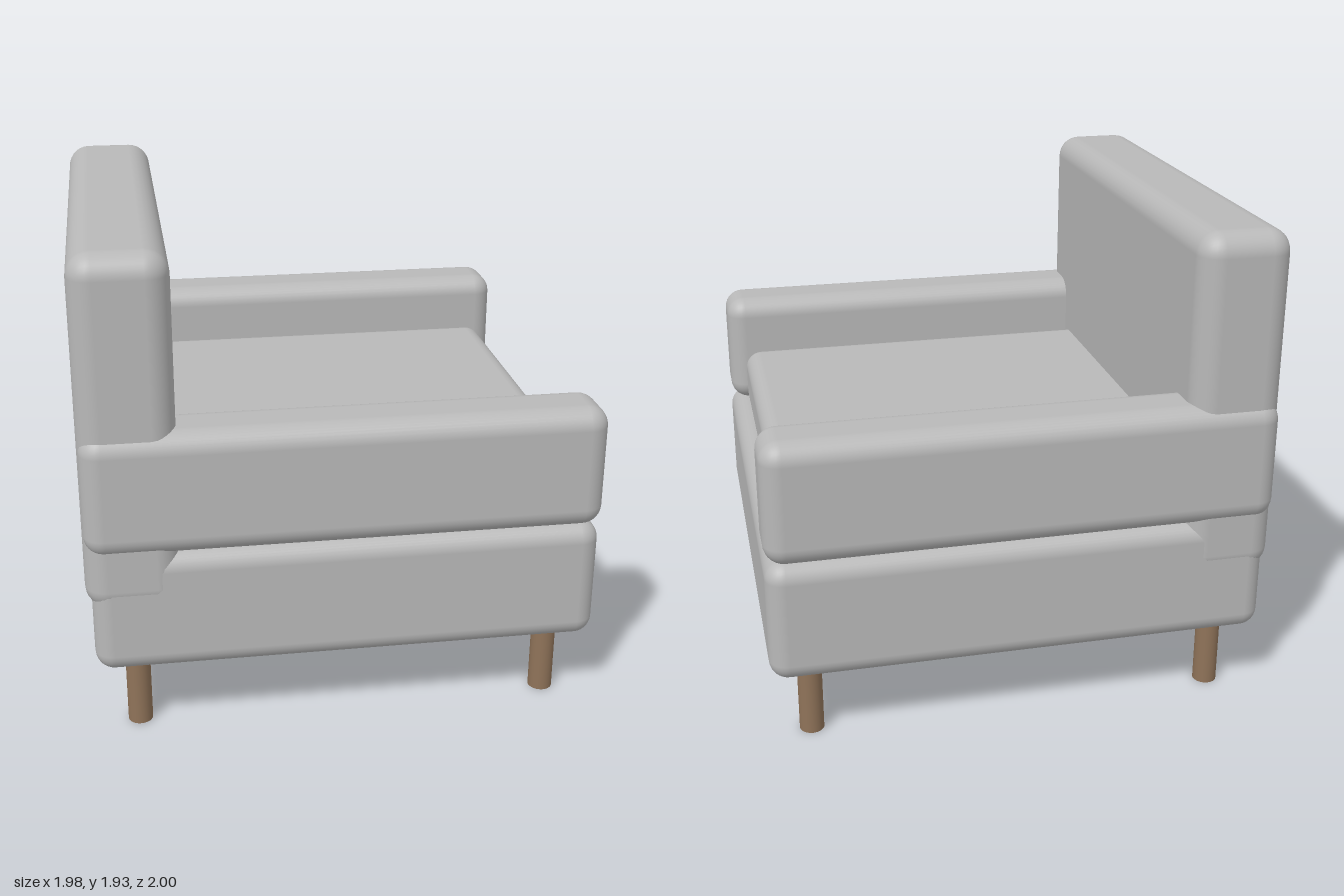
import * as THREE from 'three';
import { RoundedBoxGeometry } from 'three/addons/geometries/RoundedBoxGeometry.js';

export function createModel() {
  const model = new THREE.Group();
  model.name = 'armchair';

  const fabric = new THREE.MeshStandardMaterial({ color: 0xb8b8b8 });
  fabric.name = 'grey fabric';
  const wood = new THREE.MeshStandardMaterial({ color: 0x8f7359 });
  wood.name = 'brown wood';

  // Soft-edged block given by its extents on each axis
  function pad(name, [x0, x1], [y0, y1], [z0, z1], radius) {
    const geometry = new RoundedBoxGeometry(x1 - x0, y1 - y0, z1 - z0, 4, radius);
    const mesh = new THREE.Mesh(geometry, fabric);
    mesh.name = name;
    mesh.position.set((x0 + x1) / 2, (y0 + y1) / 2, (z0 + z1) / 2);
    model.add(mesh);
  }

  // Upholstery: the seat opens toward +x, the backrest is at -x
  pad('base', [-0.967, 0.985], [0.3, 0.79], [-0.977, 0.977], 0.075);
  pad('backrest', [-0.99, -0.63], [0.56, 1.935], [-0.979, 0.979], 0.09);
  pad('seatCushion', [-0.78, 0.917], [0.79, 1.047], [-0.735, 0.735], 0.07);
  pad('leftArmrest', [-0.985, 0.985], [0.79, 1.275], [0.73, 1], 0.08);
  pad('rightArmrest', [-0.985, 0.985], [0.79, 1.275], [-1, -0.73], 0.08);

  // Four round legs, ending just below the base
  const legGeometry = new THREE.CylinderGeometry(0.048, 0.048, 0.275, 24);
  for (const x of [-0.808, 0.827]) {
    for (const z of [-0.818, 0.818]) {
      const leg = new THREE.Mesh(legGeometry, wood);
      leg.name = (x > 0 ? 'seatSide' : 'backrestSide') + (z > 0 ? 'LeftLeg' : 'RightLeg');
      leg.position.set(x, 0.1375, z);
      model.add(leg);
    }
  }

  return model;
}
